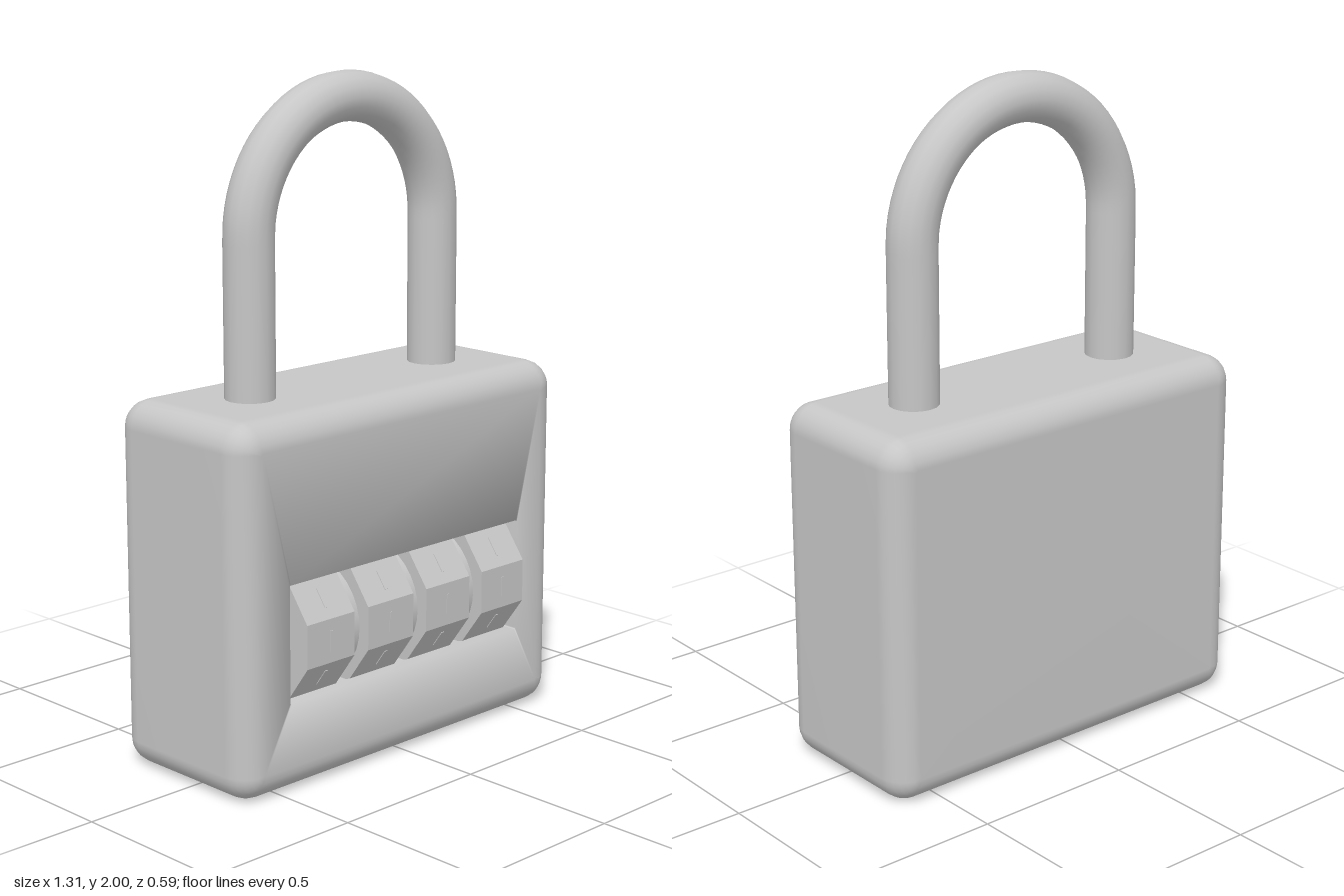
import * as THREE from 'three';

const metal = new THREE.MeshStandardMaterial({ color: 0xc6c6c6 });
metal.name = 'grey metal';

function add(parent, geometry, name, x = 0, y = 0, z = 0) {
  const mesh = new THREE.Mesh(geometry, metal);
  mesh.name = name;
  mesh.position.set(x, y, z);
  parent.add(mesh);
  return mesh;
}

// Rounded rectangle, counter-clockwise seen from the front
function ring(halfW, y0, y1, r, z, steps = 6) {
  const pts = [];
  const corners = [[halfW - r, y0 + r], [halfW - r, y1 - r], [r - halfW, y1 - r], [r - halfW, y0 + r]];
  corners.forEach(([cx, cy], q) => {
    for (let i = 0; i <= steps; i++) {
      const a = (q - 1 + i / steps) * Math.PI / 2;
      pts.push([cx + r * Math.cos(a), cy + r * Math.sin(a), z]);
    }
  });
  return pts;
}

// Closed smooth skin through a series of rings, capped at both ends
function loft(rings) {
  const n = rings[0].length, pos = rings.flat(2), idx = [];
  const centre = (r) => [0, 1, 2].map((k) => r.reduce((s, p) => s + p[k], 0) / n);
  const first = rings.length * n, last = first + 1, end = (rings.length - 1) * n;
  pos.push(...centre(rings[0]), ...centre(rings[rings.length - 1]));
  for (let j = 0; j < n; j++) {
    const k = (j + 1) % n;
    idx.push(first, k, j, last, end + j, end + k);
    for (let i = 0; i < rings.length - 1; i++) {
      const a = i * n + j, b = i * n + k;
      idx.push(a, b, b + n, a, b + n, a + n);
    }
  }
  const g = new THREE.BufferGeometry();
  g.setAttribute('position', new THREE.Float32BufferAttribute(pos, 3));
  g.setIndex(idx);
  g.computeVertexNormals();
  return g;
}

// Body: rounded block with a flat front and a rectangular pocket for the wheels
function bodyGeometry() {
  const W = 0.655, H = 1.095, back = -0.295, front = 0.245, R = 0.08, steps = 6;
  const rings = [];
  const edge = (a, zBase, dir) => {
    const inset = R * (1 - Math.cos(a));
    rings.push(ring(W - inset, inset, H - inset, Math.max(R - inset, 0.006), zBase + dir * R * Math.sin(a)));
  };
  for (let i = steps; i >= 0; i--) edge(i / steps * Math.PI / 2, back + R, -1);
  for (let i = 0; i <= steps; i++) edge(i / steps * Math.PI / 2, front - R, 1);
  for (const z of [front, -0.13]) rings.push(ring(0.475, 0.27, 0.62, 0.004, z));
  return loft(rings);
}

// Shackle: two straight legs joined by a half circle
function shackleGeometry() {
  const r = 0.373, yc = 1.553, z = -0.025, arc = [];
  for (let i = 0; i <= 24; i++) {
    const a = Math.PI * i / 24;
    arc.push(new THREE.Vector3(r * Math.cos(a), yc + r * Math.sin(a), z));
  }
  const path = new THREE.CurvePath();
  path.add(new THREE.LineCurve3(new THREE.Vector3(r, 1.0, z), arc[0]));
  path.add(new THREE.CatmullRomCurve3(arc));
  path.add(new THREE.LineCurve3(arc[24], new THREE.Vector3(-r, 1.0, z)));
  return new THREE.TubeGeometry(path, 72, 0.074, 16);
}

// Cylinder lying along x
function rod(radius, length, sides, start = 0) {
  return new THREE.CylinderGeometry(radius, radius, length, sides, 1, false, start).rotateZ(Math.PI / 2);
}

export function createModel() {
  const model = new THREE.Group();
  model.name = 'combinationPadlock';
  add(model, bodyGeometry(), 'body');
  add(model, shackleGeometry(), 'shackle');

  // Ten-sided wheels with a fine raised tick on every facet
  const Y = 0.445, Z = 0.094, R = 0.21, apothem = R * Math.cos(Math.PI / 10);
  const wheelShape = rod(R, 0.185, 10, Math.PI / 10).toNonIndexed();
  wheelShape.computeVertexNormals();
  const tick = new THREE.BoxGeometry(0.01, 0.06, 0.004).translate(0, 0, apothem);
  for (let i = 0; i < 4; i++) {
    const wheel = new THREE.Group();
    wheel.name = 'numberWheel';
    wheel.position.set(-0.3625 + i * 0.24, Y, Z);
    add(wheel, wheelShape, 'wheelRim');
    for (let k = 0; k < 10; k++) add(wheel, tick, 'wheelTick').rotation.x = k * Math.PI / 5;
    model.add(wheel);
  }

  // Spacer discs between the wheels, and the axle
  for (let i = 0; i < 3; i++) add(model, rod(0.177, 0.03, 32), 'spacerDisc', -0.2425 + i * 0.24, Y, Z);
  add(model, rod(0.035, 0.96, 20), 'axle', 0, Y, Z);
  return model;
}
